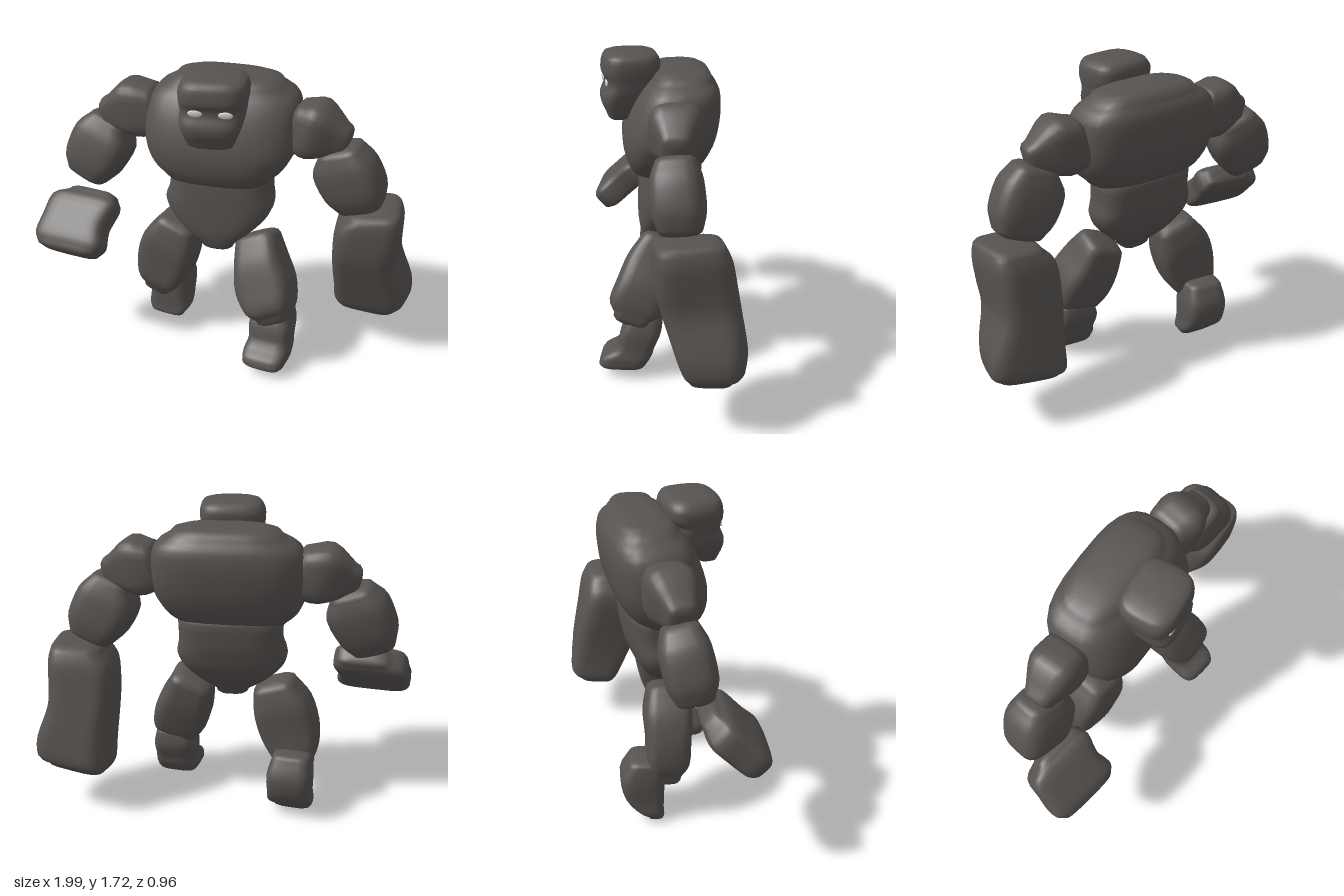
import * as THREE from 'three';

const stone = new THREE.MeshStandardMaterial({ color: 0x575350 });
stone.name = 'darkStone';
const glow = new THREE.MeshStandardMaterial({ color: 0xcccccc });
glow.name = 'paleEye';

const V = (a) => new THREE.Vector3(...a);
const SIDES = 28;
const UP = [0, 1, 0], DOWN = [0, -1, 0], X = [1, 0, 0], Z = [0, 0, 1];
const yawed = (angle) => [Math.cos(angle), 0, -Math.sin(angle)];

// Rounded boulder lofted along an axis; each section is [x, y, z, half width, half depth, twist].
// Width runs along `across`, depth runs at right angles to it, and both ends are domed.
function boulder(name, axis, across, sections, { bevel = 0.035, power = 3.4 } = {}) {
  const a = V(axis).normalize();
  const u = V(across).addScaledVector(a, -V(across).dot(a)).normalize();
  const v = a.clone().cross(u);
  const curve = (points) => new THREE.CatmullRomCurve3(points.map(V), false, 'catmullrom', 0.5);
  const centres = curve(sections.map((s) => s.slice(0, 3)));
  const sizes = curve(sections.map(([, , , width, depth, twist = 0]) => [width, depth, twist]));

  const rings = [];
  const addRing = (t, scale, rise) => {
    const s = sizes.getPoint(t);
    rings.push({
      c: centres.getPoint(t).addScaledVector(a, rise * bevel),
      width: s.x * scale, depth: s.y * scale, twist: s.z,
    });
  };
  const steps = (sections.length - 1) * 3;
  const dome = [[0.93, 0.5], [0.74, 0.85], [0.4, 1], [0, 1]];
  [...dome].reverse().forEach(([scale, rise]) => addRing(0, scale, -rise));
  for (let i = 0; i <= steps; i++) addRing(i / steps, 1, 0);
  dome.forEach(([scale, rise]) => addRing(1, scale, rise));

  const soften = (n) => Math.sign(n) * Math.pow(Math.abs(n), 2 / power);
  const positions = [], index = [];
  rings.forEach(({ c, width, depth, twist }, i) => {
    const ru = u.clone().applyAxisAngle(a, twist), rv = v.clone().applyAxisAngle(a, twist);
    for (let j = 0; j < SIDES; j++) {
      const angle = (j / SIDES) * Math.PI * 2;
      const p = c.clone()
        .addScaledVector(ru, soften(Math.cos(angle)) * width)
        .addScaledVector(rv, soften(Math.sin(angle)) * depth);
      positions.push(p.x, p.y, p.z);
      if (i === 0) continue;
      const k = (j + 1) % SIDES, lo = (i - 1) * SIDES, hi = i * SIDES;
      if (i > 1) index.push(lo + j, lo + k, hi + k);
      if (i < rings.length - 1) index.push(lo + j, hi + k, hi + j);
    }
  });
  const geometry = new THREE.BufferGeometry();
  geometry.setAttribute('position', new THREE.Float32BufferAttribute(positions, 3));
  geometry.setIndex(index);
  geometry.computeVertexNormals();
  const mesh = new THREE.Mesh(geometry, stone);
  mesh.name = name;
  return mesh;
}

export function createModel() {
  const model = new THREE.Group();
  model.name = 'stoneGolem';

  // Body, turned a little to one side
  model.add(
    boulder('chest', UP, yawed(0.16), [
      [-0.04, 1.11, 0.01, 0.3, 0.185], [-0.04, 1.17, -0.005, 0.36, 0.22], [-0.035, 1.28, -0.025, 0.41, 0.245],
      [-0.035, 1.42, -0.055, 0.412, 0.237], [-0.03, 1.53, -0.08, 0.385, 0.205], [-0.025, 1.59, -0.09, 0.3, 0.16],
    ], { bevel: 0.05, power: 3 }),
    boulder('abdomen', DOWN, yawed(0.18), [
      [-0.04, 1.12, -0.04, 0.285, 0.16], [-0.04, 1.0, -0.03, 0.285, 0.16], [-0.045, 0.92, -0.02, 0.303, 0.153],
      [-0.045, 0.84, -0.007, 0.27, 0.143], [-0.04, 0.75, 0.02, 0.185, 0.115], [-0.03, 0.68, 0.045, 0.095, 0.075],
    ], { bevel: 0.04, power: 3 }),
  );

  // Head with narrow chin, recessed eye band and heavy brow
  const headYaw = 0.24;
  model.add(boulder('head', UP, yawed(headYaw), [
    [0.015, 1.385, 0.24, 0.125, 0.06], [0.012, 1.44, 0.23, 0.148, 0.095], [0.01, 1.49, 0.215, 0.163, 0.115],
    [0.008, 1.54, 0.185, 0.168, 0.125], [0.008, 1.575, 0.185, 0.172, 0.125], [0.006, 1.61, 0.175, 0.177, 0.15],
    [0.006, 1.66, 0.17, 0.177, 0.152], [0.01, 1.69, 0.17, 0.165, 0.143],
  ], { bevel: 0.03, power: 3.2 }));

  // Eyes
  const eyes = new THREE.Group();
  eyes.name = 'eyes';
  eyes.position.set(0.013, 1.56, 0.185);
  eyes.rotation.y = headYaw;
  for (const side of [-1, 1]) {
    const eye = new THREE.Mesh(new THREE.SphereGeometry(1, 20, 12), glow);
    eye.name = side < 0 ? 'rightEye' : 'leftEye';
    eye.scale.set(0.038, 0.019, 0.008);
    eye.position.set(side * 0.077, 0, 0.121);
    eyes.add(eye);
  }
  model.add(eyes);

  // Right arm, reaching forward with an open slab hand
  model.add(
    boulder('rightUpperArm', [-0.95, -0.25, 0.15], Z, [
      [-0.42, 1.395, 0, 0.12, 0.14], [-0.54, 1.39, 0.02, 0.13, 0.158], [-0.67, 1.355, 0.05, 0.08, 0.085],
    ], { bevel: 0.045 }),
    boulder('rightForearm', [-0.14, -0.36, 0.07], X, [
      [-0.675, 1.285, 0.045, 0.12, 0.1], [-0.705, 1.2, 0.062, 0.17, 0.13],
      [-0.77, 1.06, 0.092, 0.16, 0.13], [-0.8, 0.985, 0.105, 0.125, 0.1],
    ]),
    boulder('rightHand', [0, -0.95, 1], X, [
      [-0.74, 0.87, 0.18, 0.145, 0.06], [-0.77, 0.835, 0.22, 0.2, 0.085], [-0.79, 0.75, 0.31, 0.195, 0.088],
      [-0.785, 0.68, 0.385, 0.21, 0.085], [-0.785, 0.645, 0.42, 0.185, 0.07],
    ], { bevel: 0.03, power: 4.5 }),
  );

  // Left arm, hanging back with a huge block fist
  model.add(
    boulder('leftUpperArm', [0.95, -0.25, 0], Z, [
      [0.37, 1.4, -0.11, 0.12, 0.135], [0.47, 1.39, -0.1, 0.138, 0.158], [0.6, 1.355, -0.11, 0.08, 0.085],
    ], { bevel: 0.045 }),
    boulder('leftForearm', [0.13, -0.36, -0.03], X, [
      [0.6, 1.285, -0.11, 0.12, 0.105], [0.625, 1.2, -0.115, 0.17, 0.13],
      [0.685, 1.07, -0.13, 0.167, 0.133], [0.72, 0.99, -0.14, 0.13, 0.11],
    ]),
    boulder('leftFist', [0.08, -1, -0.05], yawed(0.18), [
      [0.79, 0.935, -0.185, 0.14, 0.17], [0.765, 0.86, -0.195, 0.18, 0.19], [0.755, 0.72, -0.215, 0.182, 0.2, 0.05],
      [0.755, 0.6, -0.245, 0.18, 0.195, 0.12], [0.785, 0.42, -0.295, 0.205, 0.175, 0.2],
      [0.785, 0.31, -0.32, 0.207, 0.155, 0.25], [0.775, 0.265, -0.31, 0.18, 0.12, 0.25],
    ], { bevel: 0.03, power: 4 }),
  );

  // Right leg, trailing on its toes
  model.add(
    boulder('rightThigh', [-0.16, -0.47, 0], X, [
      [-0.28, 0.71, 0.025, 0.12, 0.11], [-0.325, 0.6, 0.025, 0.16, 0.13], [-0.37, 0.46, 0.025, 0.165, 0.12],
      [-0.41, 0.33, 0.02, 0.13, 0.115], [-0.43, 0.26, 0.01, 0.085, 0.08],
    ], { bevel: 0.045, power: 4 }),
    boulder('rightFoot', DOWN, X, [
      [-0.41, 0.36, -0.1, 0.105, 0.095], [-0.405, 0.26, -0.12, 0.124, 0.12], [-0.405, 0.14, -0.11, 0.122, 0.107],
      [-0.405, 0.07, -0.08, 0.128, 0.075], [-0.41, 0.03, -0.05, 0.108, 0.048],
    ], { bevel: 0.025, power: 4 }),
  );

  // Left leg, stepping forward
  model.add(
    boulder('leftThigh', [0.21, -0.42, 0.14], X, [
      [0.19, 0.705, 0, 0.12, 0.11], [0.225, 0.6, 0.04, 0.14, 0.14], [0.275, 0.48, 0.085, 0.16, 0.147],
      [0.325, 0.38, 0.125, 0.135, 0.145], [0.355, 0.33, 0.138, 0.1, 0.105],
    ], { bevel: 0.045, power: 4 }),
    boulder('leftFoot', DOWN, X, [
      [0.33, 0.34, 0.07, 0.1, 0.085], [0.325, 0.26, 0.09, 0.122, 0.11], [0.33, 0.17, 0.12, 0.118, 0.105],
      [0.33, 0.12, 0.165, 0.125, 0.135], [0.33, 0.07, 0.19, 0.122, 0.13],
    ], { bevel: 0.025, power: 4 }),
  );

  return model;
}
